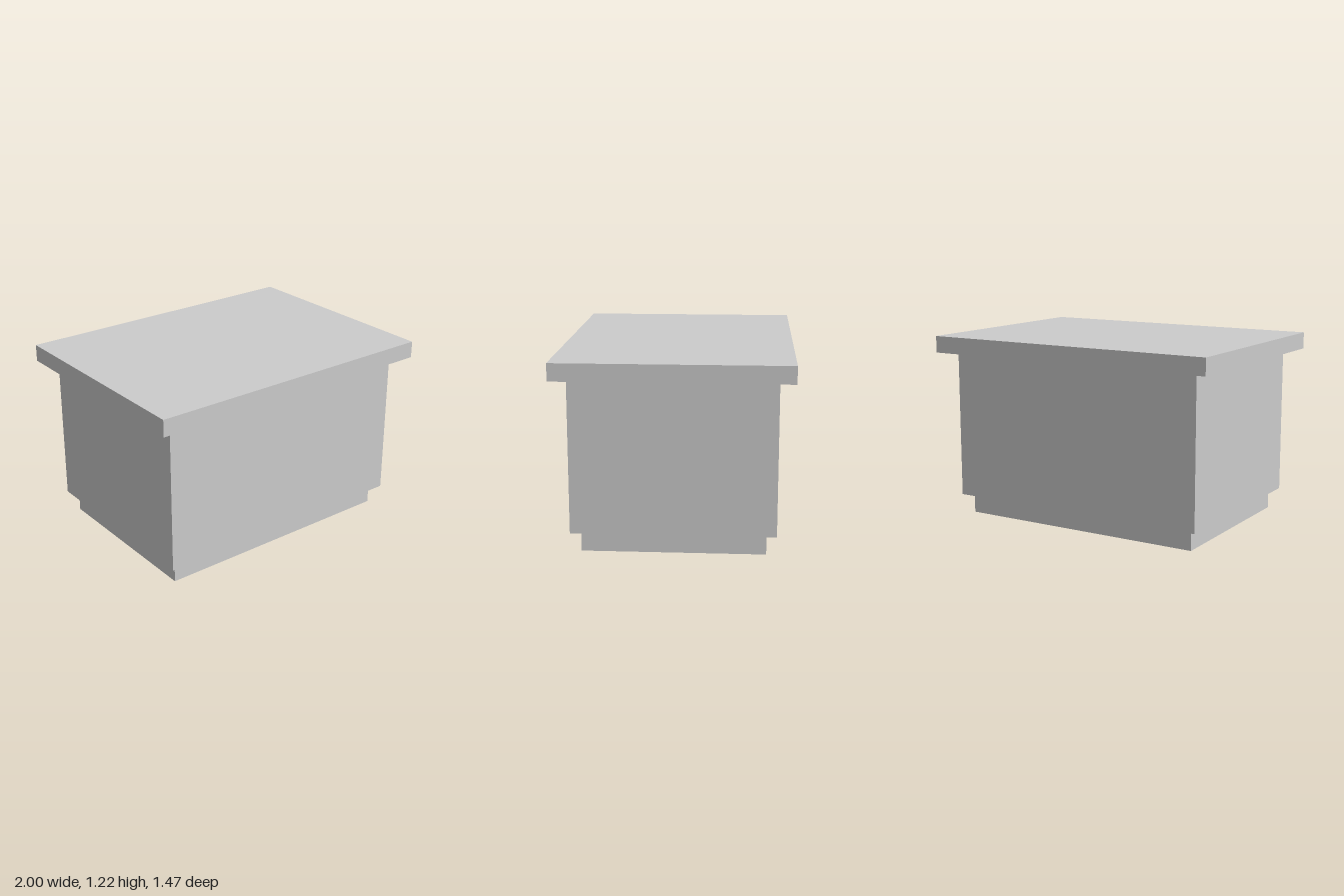
import * as THREE from 'three';

export function createModel() {
  const group = new THREE.Group();
  const material = new THREE.MeshStandardMaterial({ color: 0xcccccc, flatShading: true });

  // Adds a centred block spanning bottom..top in height
  function addBlock(name, width, depth, bottom, top) {
    const mesh = new THREE.Mesh(new THREE.BoxGeometry(width, top - bottom, depth), material);
    mesh.name = name;
    mesh.position.y = (bottom + top) / 2;
    group.add(mesh);
  }

  // Recessed plinth, main body and overhanging top slab
  addBlock('plinth', 1.675, 1.15, 0, 0.132);
  addBlock('body', 1.785, 1.275, 0.132, 1.11);
  addBlock('topSlab', 2, 1.465, 1.11, 1.22);

  return group;
}
